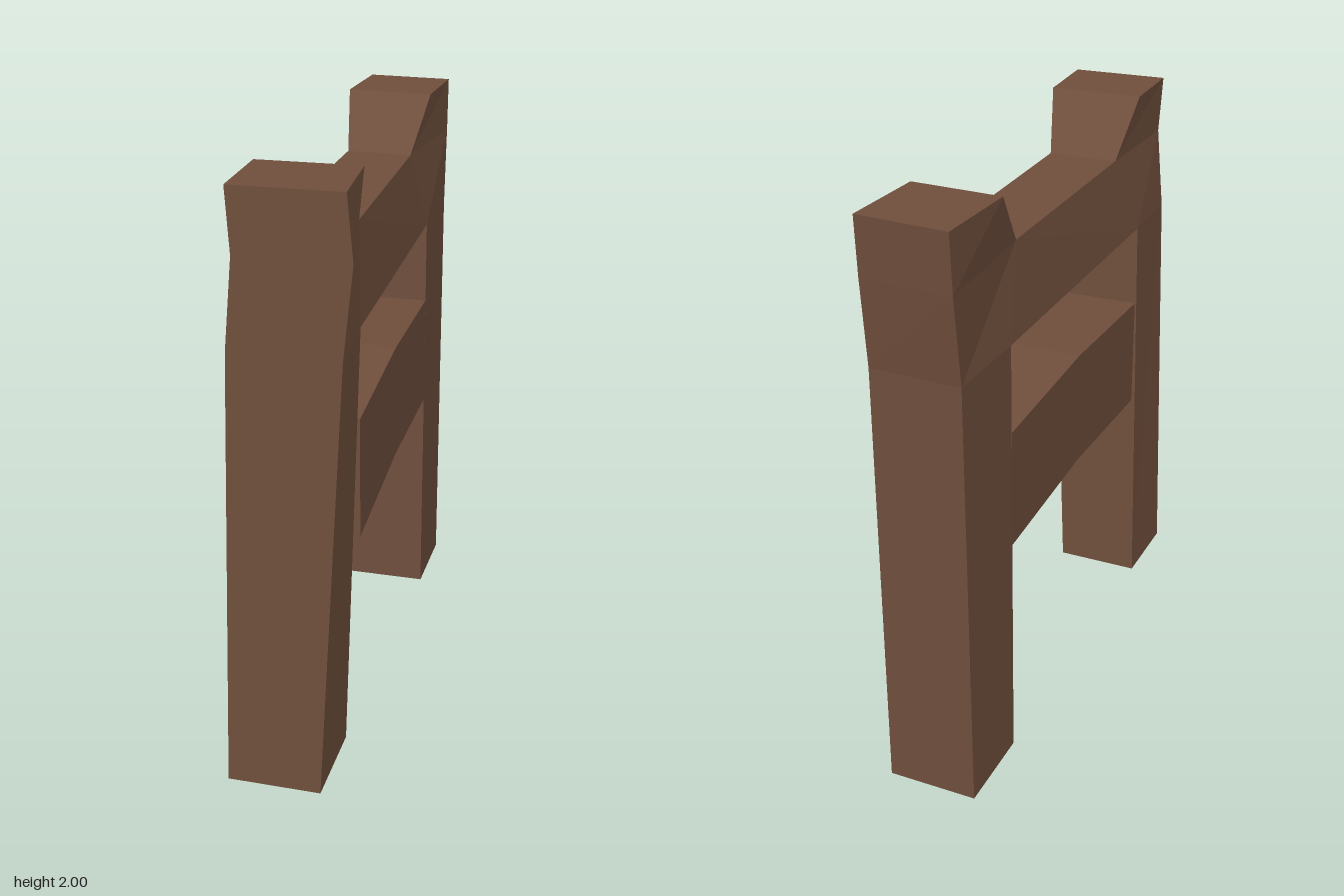
import * as THREE from 'three';

const wood = new THREE.MeshStandardMaterial({ color: 0x6f4e3c, flatShading: true });

// Closed solid through a list of four-cornered rings, each counter-clockwise seen from the far end
function loft(name, rings) {
  const pos = [];
  const quad = (a, b, c, d) => pos.push(...a, ...b, ...c, ...a, ...c, ...d);
  for (let i = 0; i < rings.length - 1; i++) {
    for (let j = 0; j < 4; j++) {
      const k = (j + 1) % 4;
      quad(rings[i][j], rings[i][k], rings[i + 1][k], rings[i + 1][j]);
    }
  }
  const [a, b, c, d] = rings[0];
  quad(d, c, b, a);
  quad(...rings[rings.length - 1]);
  const geo = new THREE.BufferGeometry();
  geo.setAttribute('position', new THREE.Float32BufferAttribute(pos, 3));
  geo.computeVertexNormals();
  const mesh = new THREE.Mesh(geo, wood);
  mesh.name = name;
  return mesh;
}

// Level ring of a post: front-left, front-right, back-right, back-left as [x, z]
const level = (y, ...corners) => corners.map(([x, z]) => [x, y, z]);

// Upright ring of a rail: x range and y range at depth z
const slice = (z, x0, x1, y0, y1) => [[x0, y0, z], [x1, y0, z], [x1, y1, z], [x0, y1, z]];

export function createModel() {
  const group = new THREE.Group();
  group.name = 'chairSideFrame';

  // Front post: leans and widens upward, its head flares into the top rail
  const frontPost = [
    level(0.035, [-0.215, 0.945], [0.095, 0.945], [0.095, 0.632], [-0.215, 0.632]),
    level(1.51, [-0.17, 0.945], [0.178, 0.945], [0.148, 0.632], [-0.185, 0.632]),
    level(1.8, [-0.143, 0.945], [0.21, 0.945], [0.105, 0.485], [-0.145, 0.485]),
    level(2.0, [-0.155, 0.945], [0.192, 0.945], [0.16, 0.632], [-0.175, 0.632]),
  ];

  // Rear post: straight sided, its head kicks backward
  const rearPost = [
    level(0, [-0.215, -0.547], [0.095, -0.547], [0.095, -0.86], [-0.215, -0.86]),
    level(1.51, [-0.215, -0.555], [0.095, -0.555], [0.095, -0.875], [-0.215, -0.89]),
    level(1.8, [-0.175, -0.43], [0.06, -0.418], [0.095, -0.905], [-0.215, -0.93]),
    level(1.99, [-0.215, -0.605], [0.095, -0.583], [0.095, -0.917], [-0.215, -0.945]),
  ];

  // Top rail joins the flared faces of the two posts
  const [, f1, f2] = frontPost, [, r1, r2] = rearPost;
  const topRail = [
    [r1[3 - 3], r1[1], r2[1], r2[0]],
    [f1[3], f1[2], f2[2], f2[3]],
  ];

  // Middle rail: gently arched, bent once at its centre
  const middleRail = [
    slice(-0.552, -0.215, 0.095, 0.805, 1.212),
    slice(0.04, -0.2, 0.12, 0.83, 1.235),
    slice(0.632, -0.185, 0.146, 0.805, 1.212),
  ];

  group.add(
    loft('frontPost', frontPost),
    loft('rearPost', rearPost),
    loft('topRail', topRail),
    loft('middleRail', middleRail),
  );
  return group;
}
